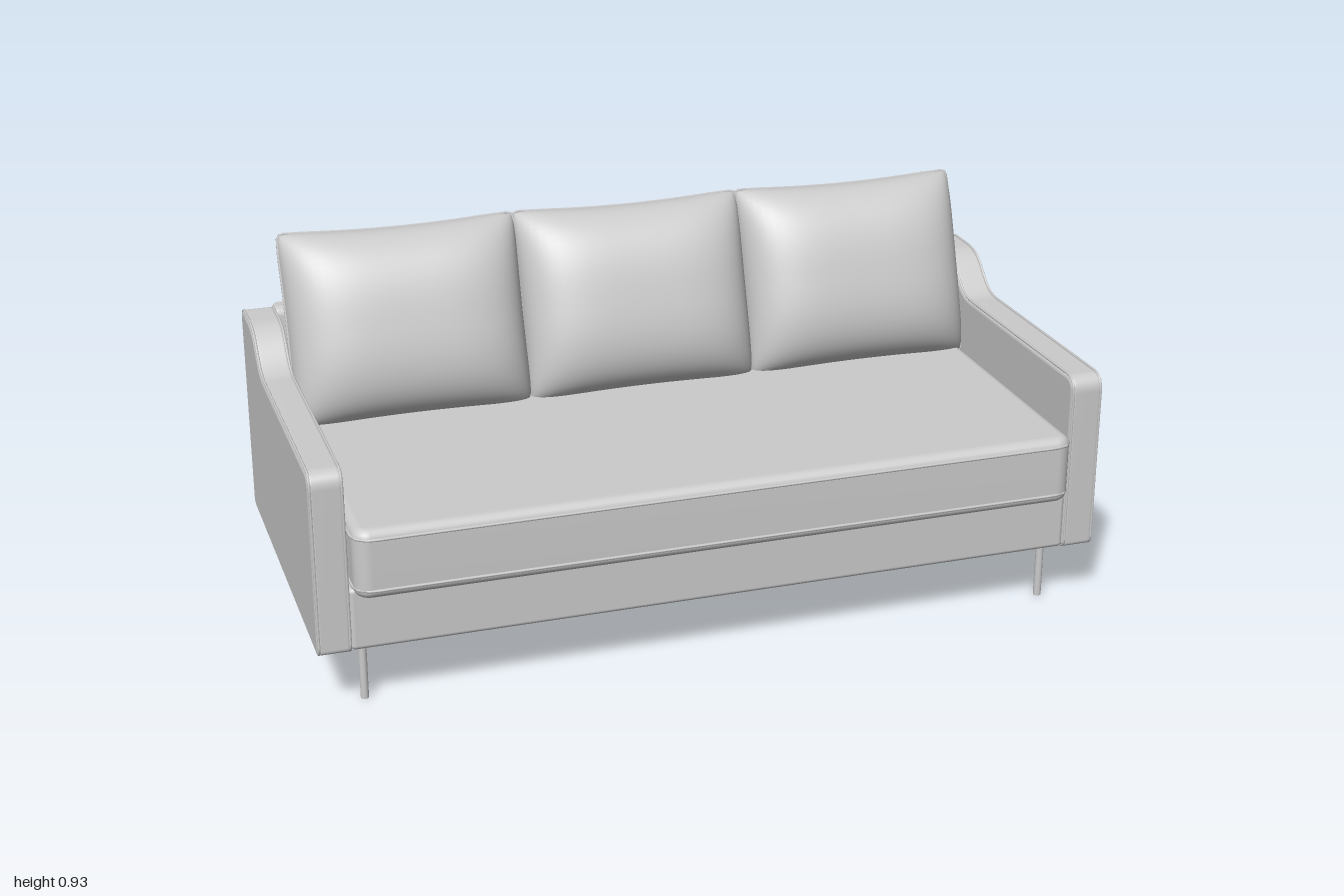
import * as THREE from 'three';
import { mergeVertices } from 'three/addons/utils/BufferGeometryUtils.js';
import { RoundedBoxGeometry } from 'three/addons/geometries/RoundedBoxGeometry.js';

const fabric = new THREE.MeshStandardMaterial({ color: 0xcccccc });

function addMesh(parent, name, geometry, x = 0, y = 0, z = 0) {
  const mesh = new THREE.Mesh(geometry, fabric);
  mesh.name = name;
  mesh.position.set(x, y, z);
  parent.add(mesh);
  return mesh;
}

// Extrusion with soft edges that stays inside its outline, centred on its depth.
// Welded corners give area-weighted normals: flat panels with smooth rounded edges.
function softExtrude(shape, depth, bevel) {
  const geo = new THREE.ExtrudeGeometry(shape, {
    depth: depth - 2 * bevel, curveSegments: 14, bevelEnabled: true,
    bevelThickness: bevel, bevelSize: bevel, bevelOffset: -bevel, bevelSegments: 5,
  });
  geo.translate(0, 0, bevel - depth / 2);
  geo.deleteAttribute('uv');
  geo.deleteAttribute('normal');
  const welded = mergeVertices(geo, 1e-5);
  welded.computeVertexNormals();
  return welded;
}

// Piping cord along a closed loop of points
function piping(points, radius = 0.004) {
  const curve = new THREE.CatmullRomCurve3(points, true);
  return new THREE.TubeGeometry(curve, 200, radius, 6, true);
}

// Loop of points on a shape outline, without the repeated last point
function outline(shape, place) {
  return shape.getSpacedPoints(140).slice(0, -1).map(place);
}

// Arm side profile: x is depth (front positive), y is height
function armProfile() {
  const s = new THREE.Shape();
  s.moveTo(-0.466, 0.155);
  s.lineTo(0.426, 0.155);
  s.quadraticCurveTo(0.44, 0.155, 0.44, 0.169);
  s.lineTo(0.44, 0.575);
  s.quadraticCurveTo(0.44, 0.615, 0.4, 0.616);
  s.lineTo(-0.17, 0.613);
  s.bezierCurveTo(-0.27, 0.613, -0.26, 0.706, -0.37, 0.706);
  s.lineTo(-0.445, 0.706);
  s.quadraticCurveTo(-0.48, 0.706, -0.48, 0.675);
  s.lineTo(-0.48, 0.169);
  s.quadraticCurveTo(-0.48, 0.155, -0.466, 0.155);
  return s;
}

// Back panel profile, thicker at the foot
function backProfile() {
  const s = new THREE.Shape();
  s.moveTo(-0.47, 0.148);
  s.lineTo(-0.362, 0.148);
  s.quadraticCurveTo(-0.35, 0.148, -0.352, 0.162);
  s.lineTo(-0.425, 0.69);
  s.quadraticCurveTo(-0.43, 0.71, -0.45, 0.71);
  s.lineTo(-0.468, 0.71);
  s.quadraticCurveTo(-0.486, 0.71, -0.486, 0.69);
  s.lineTo(-0.486, 0.164);
  s.quadraticCurveTo(-0.486, 0.148, -0.47, 0.148);
  return s;
}

function roundedRect(x0, y0, x1, y1, r) {
  const s = new THREE.Shape();
  s.absarc(x1 - r, y1 - r, r, 0, Math.PI / 2);
  s.absarc(x0 + r, y1 - r, r, Math.PI / 2, Math.PI);
  s.absarc(x0 + r, y0 + r, r, Math.PI, Math.PI * 1.5);
  s.absarc(x1 - r, y0 + r, r, Math.PI * 1.5, Math.PI * 2);
  s.closePath();
  return s;
}

// Seam outline of a back cushion for u, v in -1..1: pinched sides, rounded corners
function seamPoint(u, v, w, h) {
  const x = u * w / 2 * (1 - 0.015 * (1 - v * v) - 0.025 * v ** 12);
  const y = v * h / 2 * (1 - 0.05 * (1 - u * u) - 0.025 * u ** 12);
  return new THREE.Vector3(x, y, 0);
}

// One puffed half of a cushion, swelling towards +z
function pillowHalf(w, h, puff) {
  const geo = new THREE.PlaneGeometry(2, 2, 32, 32);
  const pos = geo.attributes.position;
  for (let i = 0; i < pos.count; i++) {
    const u = Math.sin(pos.getX(i) * Math.PI / 2);
    const v = Math.sin(pos.getY(i) * Math.PI / 2);
    const p = seamPoint(u, v, w, h);
    const swell = Math.sqrt(Math.max(0, (1 - Math.abs(u) ** 4) * (1 - Math.abs(v) ** 2.7)));
    pos.setXYZ(i, p.x, p.y, puff * swell);
  }
  geo.computeVertexNormals();
  return geo;
}

function backCushion() {
  const w = 0.615, h = 0.5;
  const cushion = new THREE.Group();
  cushion.name = 'backCushion';
  addMesh(cushion, 'cushionFront', pillowHalf(w, h, 0.132));
  addMesh(cushion, 'cushionBack', pillowHalf(w, h, 0.117).rotateY(Math.PI));
  const corners = [[-1, -1], [1, -1], [1, 1], [-1, 1]];
  const loop = [];
  corners.forEach(([u, v], k) => {
    const [u2, v2] = corners[(k + 1) % 4];
    for (let i = 0; i < 16; i++) {
      const t = i / 16;
      loop.push(seamPoint(u + (u2 - u) * t, v + (v2 - v) * t, w, h));
    }
  });
  addMesh(cushion, 'cushionPiping', piping(loop));
  cushion.rotation.x = -0.32;
  return cushion;
}

export function createModel() {
  const sofa = new THREE.Group();
  sofa.name = 'sofa';

  // Arms with piping on both edges
  const arm = armProfile();
  for (const side of [-1, 1]) {
    const group = new THREE.Group();
    group.name = side > 0 ? 'leftArm' : 'rightArm';
    const body = softExtrude(arm, 0.084, 0.012).rotateY(-Math.PI / 2);
    addMesh(group, 'armBody', body, side * 0.957);
    for (const x of [0.92, 0.994]) {
      addMesh(group, 'armPiping', piping(outline(arm, p =>
        new THREE.Vector3(side * x, p.y, p.x * 0.995)), 0.0035));
    }
    sofa.add(group);
  }

  // Back panel with piping along its top rear edge
  addMesh(sofa, 'backPanel', softExtrude(backProfile(), 1.835, 0.008).rotateY(-Math.PI / 2));
  const cord = new THREE.CylinderGeometry(0.004, 0.004, 1.82, 8).rotateZ(Math.PI / 2);
  addMesh(sofa, 'backPiping', cord, 0, 0.705, -0.481);

  // Base, stopping short of the back panel
  addMesh(sofa, 'base', new RoundedBoxGeometry(1.835, 0.16, 0.675, 4, 0.012), 0, 0.235, 0.0975);

  // Seat cushion: one long slab with piping around top and bottom
  const seat = roundedRect(-0.908, -0.482, 0.908, 0.3, 0.04);
  const slab = softExtrude(seat, 0.174, 0.024).rotateX(-Math.PI / 2);
  addMesh(sofa, 'seatCushion', slab, 0, 0.389, 0);
  for (const y of [0.326, 0.455]) {
    addMesh(sofa, 'seatPiping', piping(outline(seat, p => new THREE.Vector3(p.x, y, -p.y))));
  }

  // Three leaning back cushions
  for (const i of [-1, 0, 1]) {
    const cushion = backCushion();
    cushion.position.set(i * 0.608, 0.694, -0.285);
    sofa.add(cushion);
  }

  // Slim round legs
  for (const x of [-0.883, 0.883]) {
    for (const z of [0.38, -0.417]) {
      addMesh(sofa, 'leg', new THREE.CylinderGeometry(0.01, 0.01, 0.16, 16), x, 0.08, z);
    }
  }
  return sofa;
}
